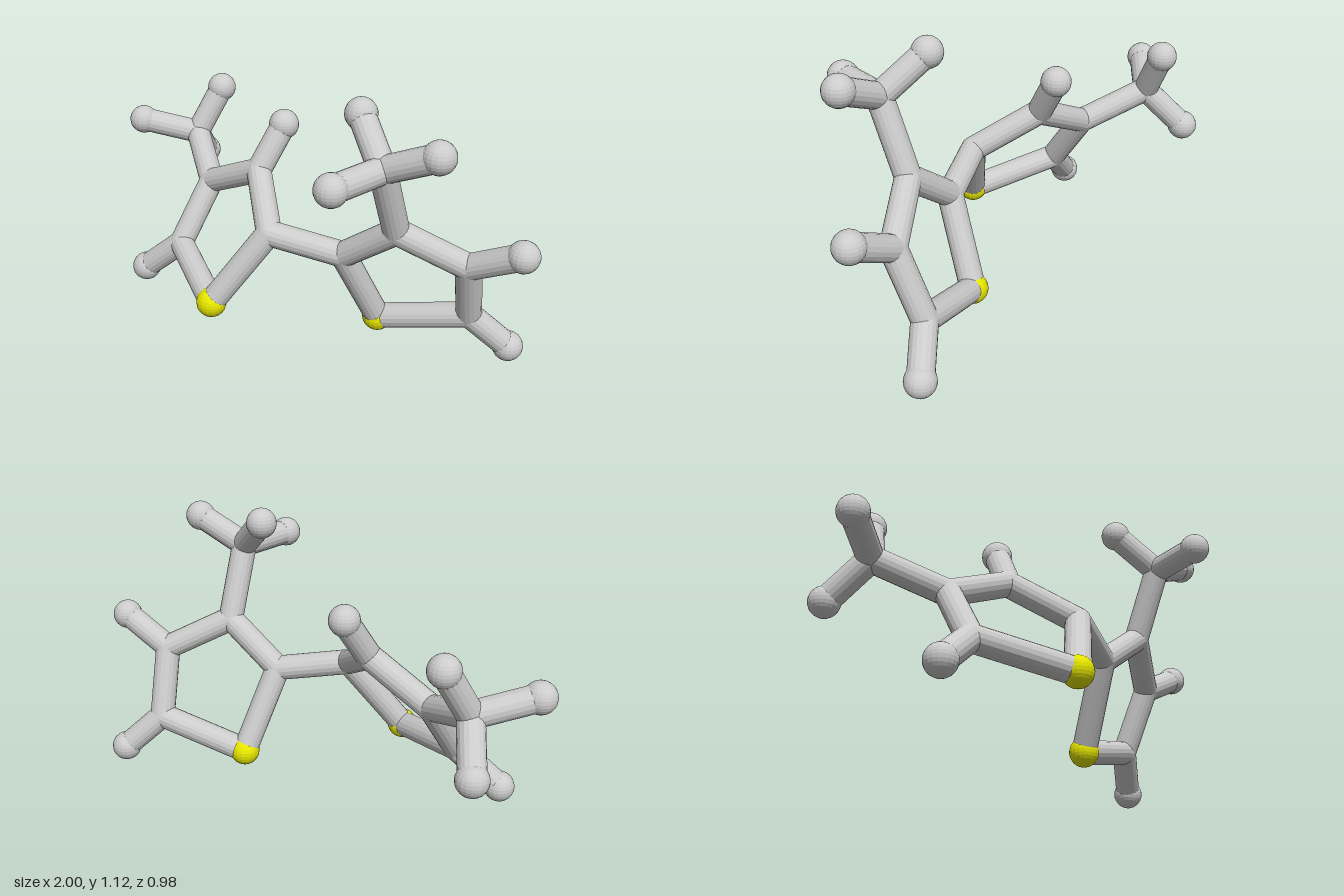
import * as THREE from 'three';

const BOND_R = 0.052;
const BALL_R = 0.062;

// Atom centres: carbon joints (c), hydrogen ends (h), sulfur (s)
const ATOMS = {
  // ring on the model's right
  sA: [-0.23, 0.19, 0.3],
  c2A: [-0.04, 0.5, 0.155],
  c3A: [-0.23, 0.65, -0.045],
  c4A: [-0.515, 0.515, -0.085],
  c5A: [-0.56, 0.27, 0.085],
  h3A: [-0.178, 0.83, -0.155],
  h5A: [-0.735, 0.118, 0.128],
  cMethylA: [-0.735, 0.63, -0.272],
  hMethylA1: [-0.938, 0.69, -0.14],
  hMethylA2: [-0.667, 0.828, -0.372],
  hMethylA3: [-0.81, 0.472, -0.426],
  // ring on the model's left
  sB: [0.32, 0.108, -0.103],
  c2B: [0.245, 0.447, 0.058],
  c3B: [0.48, 0.622, 0.068],
  c4B: [0.725, 0.487, -0.06],
  c5B: [0.697, 0.21, -0.168],
  h4B: [0.935, 0.598, -0.055],
  h5B: [0.837, 0.066, -0.255],
  cMethylB: [0.478, 0.918, 0.19],
  hMethylB1: [0.325, 1.063, 0.085],
  hMethylB2: [0.69, 1.015, 0.183],
  hMethylB3: [0.413, 0.917, 0.427],
};

// Pairs of atoms joined by a rod
const BONDS = [['c2A', 'c2B'], ['c3A', 'h3A'], ['c4A', 'cMethylA'], ['c3B', 'cMethylB'], ['c4B', 'h4B']];
for (const side of ['A', 'B']) {
  const ring = ['s', 'c2', 'c3', 'c4', 'c5'];
  ring.forEach((name, i) => BONDS.push([name + side, ring[(i + 1) % 5] + side]));
  BONDS.push(['c5' + side, 'h5' + side]);
  for (let i = 1; i <= 3; i++) BONDS.push(['cMethyl' + side, 'hMethyl' + side + i]);
}

const KINDS = {
  s: { name: 'sulfurBall', radius: BALL_R, color: 0xe6e600 },
  c: { name: 'carbonJoint', radius: BOND_R, color: 0xcccccc },
  h: { name: 'hydrogenBall', radius: BALL_R, color: 0xcccccc },
};

export function createModel() {
  const model = new THREE.Group();
  model.name = 'molecule';
  const atoms = new THREE.Group();
  atoms.name = 'atoms';
  const bonds = new THREE.Group();
  bonds.name = 'bonds';
  model.add(atoms, bonds);

  // Balls and rounded joints
  for (const kind of Object.values(KINDS)) {
    kind.geometry = new THREE.SphereGeometry(kind.radius, 20, 14);
    kind.material = new THREE.MeshStandardMaterial({ color: kind.color, flatShading: true });
  }
  for (const [id, position] of Object.entries(ATOMS)) {
    const kind = KINDS[id[0]];
    const ball = new THREE.Mesh(kind.geometry, kind.material);
    ball.name = kind.name;
    ball.position.set(...position);
    atoms.add(ball);
  }

  // Rods between atom centres
  const up = new THREE.Vector3(0, 1, 0);
  for (const [from, to] of BONDS) {
    const a = new THREE.Vector3(...ATOMS[from]);
    const b = new THREE.Vector3(...ATOMS[to]);
    const rod = new THREE.Mesh(
      new THREE.CylinderGeometry(BOND_R, BOND_R, a.distanceTo(b), 18, 1, true),
      KINDS.c.material
    );
    rod.name = 'bond';
    rod.position.lerpVectors(a, b, 0.5);
    rod.quaternion.setFromUnitVectors(up, b.sub(a).normalize());
    bonds.add(rod);
  }
  return model;
}
